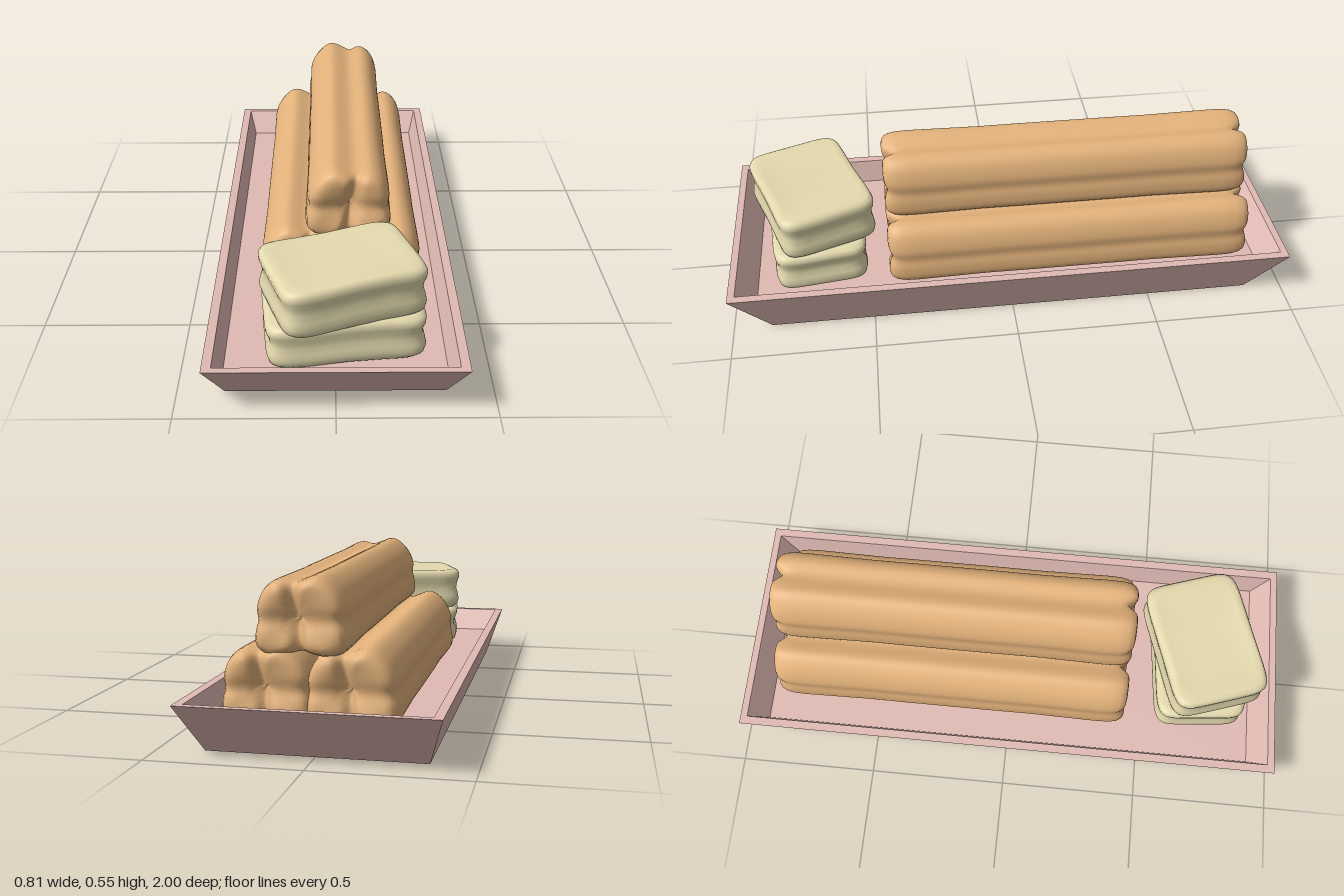
import * as THREE from 'three';

const mat = (color, flatShading = false) => new THREE.MeshStandardMaterial({ color, flatShading });
const bump = (x, c, w) => Math.exp(-(((x - c) / w) ** 2));

// Skins a list of equally long closed rings of [x, y, z] points.
function loft(rings) {
  const n = rings[0].length, idx = [];
  for (let i = 0; i < rings.length - 1; i++) {
    for (let j = 0; j < n; j++) {
      const k = (j + 1) % n;
      const a = i * n + j, b = i * n + k, c = a + n, d = b + n;
      idx.push(a, b, d, a, d, c);
    }
  }
  const g = new THREE.BufferGeometry();
  g.setAttribute('position', new THREE.Float32BufferAttribute(rings.flat(2), 3));
  g.setIndex(idx);
  g.computeVertexNormals();
  return g;
}

// Tray: flared outside, flat rim, sloping inside walls, raised floor
function trayGeometry() {
  const corners = [[1, 1], [1, -1], [-1, -1], [-1, 1]];
  const levels = [[0, 0, 0], [0.35, 0, 0.865], [0.405, 0.172, 1], [0.375, 0.172, 0.975], [0.35, 0.09, 0.91], [0, 0.09, 0]];
  const g = loft(levels.map(([x, y, z]) => corners.map(([sx, sz]) => [sx * x, y, sz * z]))).toNonIndexed();
  g.computeVertexNormals();
  return g;
}

// Long loaf: two-lobed section, slightly waisted, with a cleft in each end
function loafGeometry() {
  const half = 0.658, mid = 0.12;
  const section = [[0, 0.012], [0.1, 0], [0.14, 0.025], [0.144, 0.07], [0.137, 0.105], [0.139, 0.145],
    [0.115, 0.205], [0.078, 0.23], [0.02, 0.225], [-0.055, 0.246], [-0.105, 0.212], [-0.136, 0.155],
    [-0.137, 0.11], [-0.144, 0.07], [-0.14, 0.025], [-0.1, 0]];
  const curve = new THREE.CatmullRomCurve3(section.map(([x, y]) => new THREE.Vector3(x, y, 0)), true);
  const outline = curve.getSpacedPoints(96).slice(0, 96);
  // [inset from the end, scale of the section]
  const end = [[0.014, 0], [0.012, 0.15], [0.009, 0.3], [0.005, 0.45], [0.001, 0.6], [0, 0.72], [0.003, 0.82],
    [0.011, 0.9], [0.027, 0.96], [0.055, 0.995], [0.1, 1.005], [0.2, 0.995], [0.35, 0.98], [0.5, 0.985]];
  const stations = [...end.map(([d, s]) => [d, s, -1]), ...end.map(([d, s]) => [d, s, 1]).reverse()];
  return loft(stations.map(([d, s, side]) => outline.map((p) => {
    const x = p.x * s, y = mid + (p.y - mid) * s;
    const fade = Math.max(0, 1 - d / 0.1);
    const cleft = 0.032 * bump(x, 0.012 + (y - mid) * 0.15, 0.02) + 0.012 * bump(y, 0.11, 0.03);
    return [x, y, side * (half - d - cleft * fade)];
  })));
}

// Soft block: rounded rectangle with a pinched waist and a lightly dished top
function blockGeometry(w, h, d) {
  const levels = [[0, 0], [0, 0.5], [0, 0.85], [0.03, 0.93], [0.1, 0.98], [0.22, 1], [0.35, 0.985], [0.5, 0.955],
    [0.65, 0.965], [0.78, 0.995], [0.88, 1], [0.96, 0.97], [1, 0.91], [0.99, 0.8], [0.975, 0.6], [0.97, 0.3], [0.97, 0]];
  const n = 72, pow = (v) => Math.sign(v) * Math.abs(v) ** 0.3;
  return loft(levels.map(([t, s]) => Array.from({ length: n }, (_, i) => {
    const a = (i / n) * Math.PI * 2;
    const x = pow(Math.cos(a)) * s, z = -pow(Math.sin(a)) * s;
    // sides sag in a little between the corners
    const sag = 1 - 0.04 * (1 - x * x) * Math.abs(z);
    return [x * w / 2, t * h + 0.004 * Math.sin(3 * x + z) * s, z * sag * d / 2];
  })));
}

export function createModel() {
  const model = new THREE.Group();
  const add = (name, geometry, material, x, y, z) => {
    const mesh = new THREE.Mesh(geometry, material);
    mesh.name = name;
    mesh.position.set(x, y, z);
    model.add(mesh);
    return mesh;
  };

  add('tray', trayGeometry(), mat(0xe0bab3, true), 0, 0, 0);

  // Three loaves stacked as a pyramid
  const loaf = loafGeometry(), crust = mat(0xe3b27b);
  add('lowerLeftLoaf', loaf, crust, 0.155, 0.09, -0.222);
  add('lowerRightLoaf', loaf, crust, -0.11, 0.09, -0.222);
  add('upperLoaf', loaf, crust, 0.046, 0.303, -0.222);

  // Two blocks, the upper one turned
  const cream = mat(0xe4daae);
  const lower = add('lowerBlock', blockGeometry(0.51, 0.15, 0.34), cream, 0.025, 0.09, 0.695);
  lower.rotation.set(0, 0.1, 0.02);
  const upper = add('upperBlock', blockGeometry(0.48, 0.165, 0.36), cream, 0.021, 0.232, 0.7);
  upper.rotation.set(0, 0.33, 0.008);

  return model;
}
